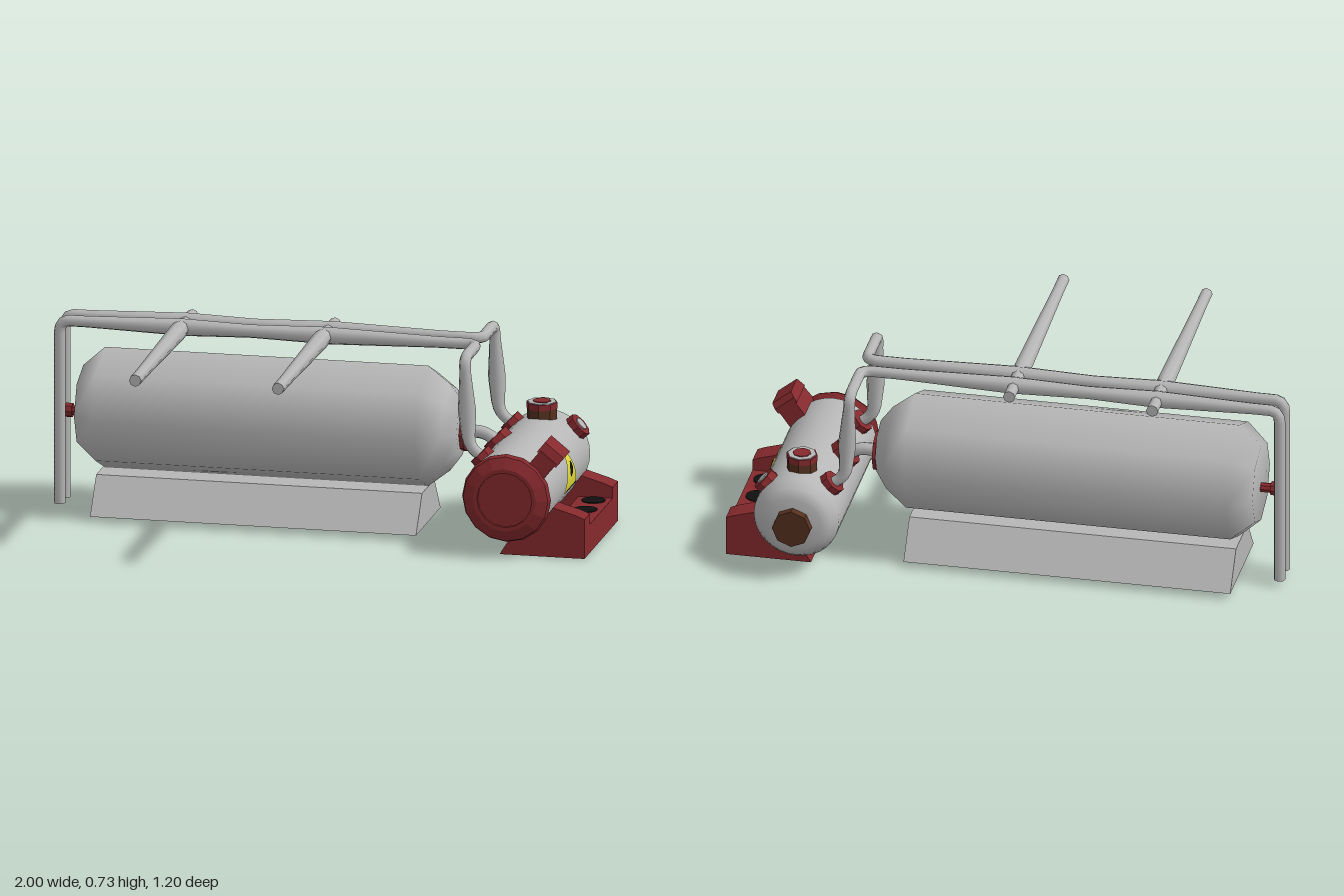
import * as THREE from 'three';

const V = (x, y, z) => new THREE.Vector3(x, y, z);
const material = (name, color) => {
  const m = new THREE.MeshStandardMaterial({ color, side: THREE.DoubleSide });
  m.name = name;
  return m;
};

export function createModel() {
  const grey = material('grey steel', 0xb6b6b6);
  const red = material('dark red', 0x85292d);
  const brown = material('rust brown', 0x55301f);
  const yellow = material('warning yellow', 0xe0d83a);
  const black = material('black', 0x101010);
  const model = new THREE.Group();

  const add = (name, geometry, mat, parent = model) => {
    const mesh = new THREE.Mesh(geometry, mat);
    mesh.name = name;
    parent.add(mesh);
    return mesh;
  };
  const lathe = (profile, sides) =>
    new THREE.LatheGeometry(profile.map(([r, h]) => new THREE.Vector2(r, h)), sides);

  // Polygonal flange or boss sitting at a point and facing along a direction
  const disc = (name, pos, dir, r, h, mat, sides = 8) => {
    const g = new THREE.CylinderGeometry(r, r, h, sides).toNonIndexed();
    g.computeVertexNormals();
    const m = add(name, g, mat);
    m.position.copy(pos);
    m.quaternion.setFromUnitVectors(V(0, 1, 0), dir.clone().normalize());
    return m;
  };

  // Tube along a polyline with rounded bends and a radius that varies by position
  const pipe = (name, pts, radius, bend = 0.045, steps = 100) => {
    const path = new THREE.CurvePath();
    let start = pts[0];
    for (let i = 1; i < pts.length - 1; i++) {
      const back = pts[i - 1].clone().sub(pts[i]).setLength(bend).add(pts[i]);
      const next = pts[i + 1].clone().sub(pts[i]).setLength(bend * 0.8).add(pts[i]);
      path.add(new THREE.LineCurve3(start, back));
      path.add(new THREE.QuadraticBezierCurve3(back, pts[i], next));
      start = next;
    }
    path.add(new THREE.LineCurve3(start, pts[pts.length - 1]));
    const g = new THREE.TubeGeometry(path, steps, 1, 8);
    const p = g.attributes.position, v = V(0, 0, 0);
    for (let i = 0; i <= steps; i++) {
      const c = path.getPointAt(i / steps), r = radius(c);
      for (let j = 0; j <= 8; j++) {
        const k = i * 9 + j;
        v.fromBufferAttribute(p, k).sub(c).multiplyScalar(r).add(c);
        p.setXYZ(k, v.x, v.y, v.z);
      }
    }
    add(name, g, grey);
    for (const t of [0, 1]) {
      const c = path.getPointAt(t);
      const cap = add(name + 'End', new THREE.CircleGeometry(radius(c), 8), grey);
      cap.position.copy(c);
      cap.lookAt(c.clone().add(path.getTangentAt(t)));
    }
  };
  const bulge = (t, mid, half) => Math.max(0, 1 - Math.abs(t - mid) / half);

  // Large horizontal tank
  const big = add('largeTank', lathe([[0, -0.9], [0.15, -0.9], [0.222, -0.82], [0.222, 0.36],
    [0.16, 0.44], [0.1, 0.485], [0, 0.485]], 8).rotateZ(-Math.PI / 2), grey);
  big.position.set(0, 0.373, -0.188);
  disc('tankOutletFlange', V(0.485, 0.36, -0.2), V(1, 0, 0), 0.075, 0.03, red);
  disc('tankDrain', V(-0.935, 0.355, -0.188), V(1, 0, 0), 0.018, 0.075, red);
  disc('tankDrainCap', V(-0.95, 0.355, -0.188), V(1, 0, 0), 0.026, 0.025, red);

  // Sloped plinth, hollow underneath
  const [bz, tz] = [0.2, 0.1];
  const plinth = new THREE.BoxGeometry(1.19, 0.13, 1);
  const pp = plinth.attributes.position;
  for (let i = 0; i < pp.count; i++) pp.setZ(i, Math.sign(pp.getZ(i)) * (pp.getY(i) > 0 ? tz : bz));
  const idx = Array.from(plinth.index.array);
  idx.splice(18, 6);
  plinth.setIndex(idx);
  plinth.clearGroups();
  const hollow = plinth.toNonIndexed();
  hollow.computeVertexNormals();
  add('plinth', hollow, grey).position.set(-0.235, 0.085, -0.188);

  // Twin supply pipes, ending on the small tank
  const runRadius = (p) => p.y > 0.66
    ? 0.021 + (p.x < 0.5 ? 0.011 * Math.max(bulge(p.x, -0.53, 0.35), bulge(p.x, 0, 0.4)) : 0)
    : 0.021 + (p.x > 0 ? 0.012 * bulge(p.y, 0.5, 0.14) : 0);
  for (const [z, end] of [[-0.155, 0.045], [-0.238, -0.44]]) {
    pipe('supplyPipe', [V(-0.978, 0.02, z), V(-0.978, 0.693, z), V(0.545, 0.693, z),
      V(0.545, 0.693, end), V(0.56, 0.37, end), V(0.63, 0.32, end)], runRadius, 0.045, 140);
  }
  pipe('linkPipe', [V(0.48, 0.36, -0.2), V(0.56, 0.36, -0.2), V(0.64, 0.31, -0.2)], () => 0.024, 0.03, 16);

  // Cross pipes reaching out to the front
  for (const x of [-0.533, -0.012]) {
    pipe('crossPipe', [V(x, 0.692, -0.33), V(x, 0.692, 0.6)],
      (p) => 0.022 + 0.011 * (p.z < -0.1 ? bulge(p.z, -0.1, 0.15) : bulge(p.z, -0.1, 0.6)), 0.04, 30);
  }

  // Small tank, lying front to back
  const cx = 0.725, cy = 0.22, R = 0.155;
  const small = add('smallTank', lathe([[0, -0.567], [0.1, -0.567], [0.132, -0.54], [R, -0.505],
    [R, 0.13], [0.135, 0.165], [0, 0.165]], 32).rotateX(Math.PI / 2), grey);
  small.position.set(cx, cy, 0);
  const cap = add('frontCap', lathe([[0.14, 0.145], [0.162, 0.163], [0.155, 0.18], [0.115, 0.2],
    [0.1, 0.2], [0.1, 0.19], [0, 0.19]], 16).toNonIndexed().rotateX(Math.PI / 2), red);
  cap.geometry.computeVertexNormals();
  cap.position.set(cx, cy, 0);
  disc('rearCap', V(cx, cy - 0.003, -0.58), V(0, 0, 1), 0.07, 0.036, brown);

  // Ports around the small tank
  const side = V(-1, 1, 0).normalize(), out = V(1, 0.9, 0).normalize();
  const onTank = (dir, z, lift) => V(cx, cy, z).addScaledVector(dir, R + lift);
  for (const [z, r] of [[0.045, 0.045], [-0.2, 0.056], [-0.44, 0.045]])
    disc('inletFlange', onTank(side, z, 0.005), side, r, 0.035, red);
  disc('sidePort', onTank(out, -0.457, 0.005), out, 0.046, 0.035, red);
  disc('sidePortCentre', onTank(out, -0.457, 0.012), out, 0.025, 0.03, grey);
  const up = V(0, 1, 0);
  disc('topPortBody', V(cx, 0.385, -0.41), up, 0.055, 0.045, brown);
  disc('topPortRim', V(cx, 0.415, -0.41), up, 0.057, 0.022, red);
  disc('topPortFace', V(cx, 0.427, -0.41), up, 0.052, 0.004, grey);
  disc('topPortCentre', V(cx, 0.429, -0.41), up, 0.033, 0.006, red);

  // Tilted junction box near the front, narrower at its outer end
  const box = new THREE.Group();
  box.name = 'junctionBox';
  box.position.set(0.855, 0.35, 0.098);
  box.rotation.z = -0.68;
  model.add(box);
  const bevel = (w, z0, z1, y0, y1) => {
    const s = new THREE.Shape([[-z0, y0], [z0, y0], [z0, (y0 + y1) / 2], [z1, y1], [-z1, y1]]
      .map(([a, b]) => new THREE.Vector2(a, b)));
    return new THREE.ExtrudeGeometry(s, { depth: w, bevelEnabled: false })
      .translate(0, 0, -w / 2).rotateY(Math.PI / 2);
  };
  add('boxBody', bevel(0.075, 0.073, 0.066, -0.09, 0.035), red, box);
  add('boxLid', bevel(0.088, 0.066, 0.05, 0.025, 0.066), red, box);

  // Cradle: two end supports joined by a drilled bar
  const foot = new THREE.Shape([[0.69, 0], [1, 0], [1, 0.145], [0.97, 0.157], [0.885, 0.182],
    [0.84, 0.12], [0.74, 0.08]].map(([x, y]) => new THREE.Vector2(x, y)));
  for (const z of [0.035, -0.422])
    add('cradleFoot', new THREE.ExtrudeGeometry(foot, { depth: 0.086, bevelEnabled: false }), red).position.z = z;
  add('cradleBar', new THREE.BoxGeometry(0.125, 0.105, 0.38), red).position.set(0.9375, 0.0525, -0.15);
  for (const z of [-0.29, -0.16, -0.03])
    for (const y of [0.106, 0.001])
      disc('cradleHole', V(0.94, y, z), up, 0.043, 0.004, black, 16);

  // Painted sign wrapped on the tank: rows of [height, z start, z end]
  const decal = (name, rows, mat, lift) => {
    const pos = [], ind = [], r = R + lift;
    rows.forEach(([y, a, b], i) => {
      const x = cx + Math.sqrt(r * r - (y - cy) ** 2);
      pos.push(x, y, a, x, y, b);
      if (i) ind.push(2 * i - 2, 2 * i - 1, 2 * i, 2 * i - 1, 2 * i + 1, 2 * i);
    });
    const g = new THREE.BufferGeometry();
    g.setAttribute('position', new THREE.Float32BufferAttribute(pos, 3));
    g.setIndex(ind);
    g.computeVertexNormals();
    add(name, g, mat);
  };
  const tri = [];
  for (let i = 0; i <= 10; i++) {
    const w = 0.092 * (1 - i / 10) + 0.004;
    tri.push([0.175 + 0.015 * i, -0.183 + w, -0.183 - w]);
  }
  decal('warningSign', tri, yellow, 0.004);
  decal('signFlame', [[0.222, -0.165, -0.175], [0.232, -0.16, -0.2], [0.25, -0.163, -0.205],
    [0.265, -0.175, -0.2], [0.275, -0.182, -0.19]], black, 0.007);
  decal('signLine', [[0.178, -0.11, -0.265], [0.184, -0.11, -0.265]], black, 0.007);

  return model;
}
